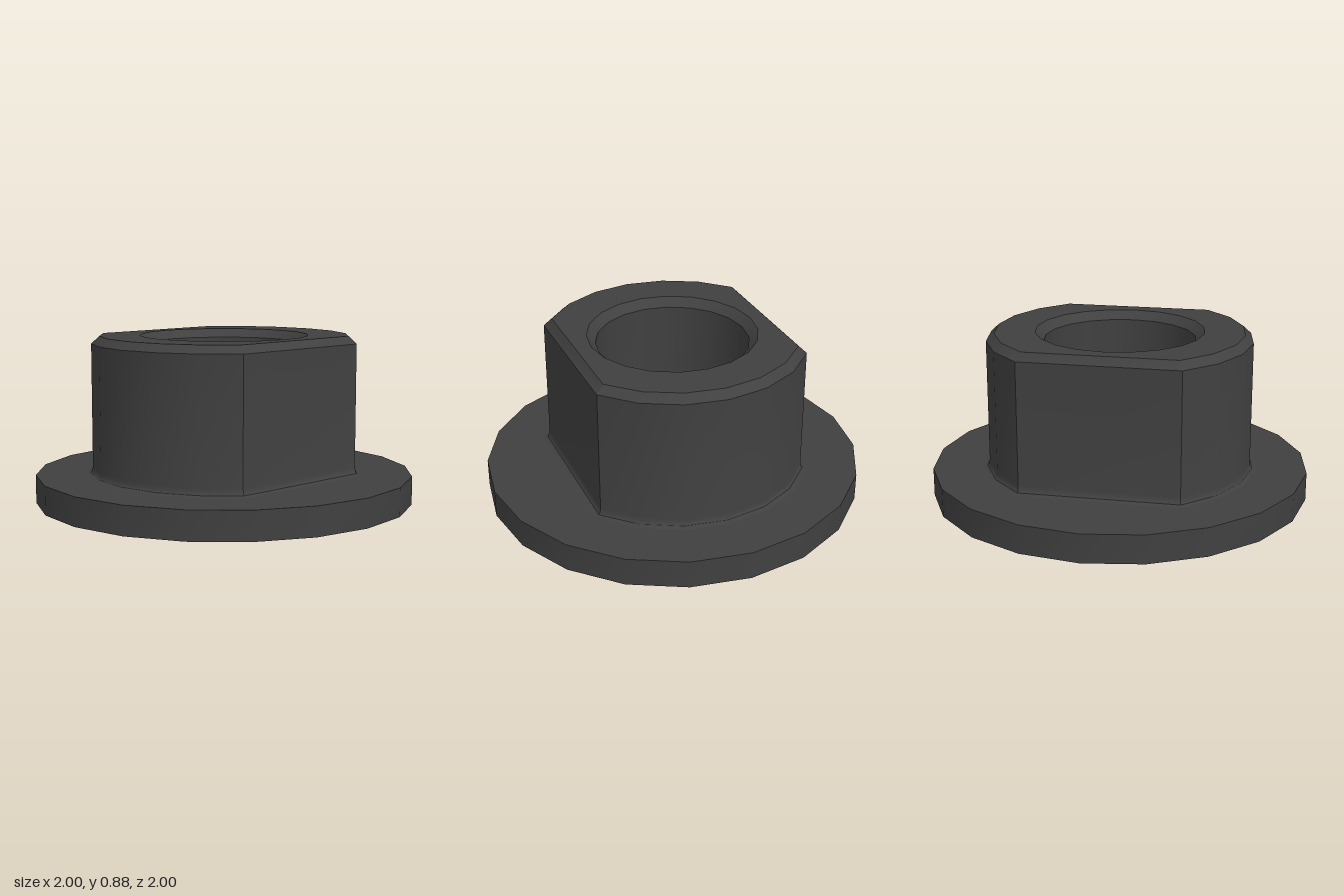
import * as THREE from 'three';
import { toCreasedNormals } from 'three/addons/utils/BufferGeometryUtils.js';

const material = new THREE.MeshStandardMaterial({ color: 0x404040 });

// 20-sided ring, counter-clockwise seen from above
function circle(r) {
  return Array.from({ length: 20 }, (_, i) => {
    const a = (i / 20) * Math.PI * 2;
    return new THREE.Vector2(r * Math.cos(a), r * Math.sin(a));
  });
}

// Circle of radius r cut by two parallel flats at distance d, six facets per arc
function doubleD(r, d) {
  const limit = Math.asin(d / r), points = [];
  for (const start of [0, Math.PI]) {
    for (let i = -3; i <= 3; i++) {
      const a = start + (limit * i) / 3;
      points.push(new THREE.Vector2(r * Math.cos(a), r * Math.sin(a)));
    }
  }
  return points;
}

// Walls through a stack of [outline, y]; listing from the top down turns them inward
function walls(name, levels) {
  const positions = [], index = [], n = levels[0][0].length;
  for (const [outline, y] of levels) for (const p of outline) positions.push(p.x, y, -p.y);
  for (let k = 0; k < levels.length - 1; k++) {
    for (let i = 0; i < n; i++) {
      const a = k * n + i, b = k * n + ((i + 1) % n);
      index.push(a, b, b + n, a, b + n, a + n);
    }
  }
  const geometry = new THREE.BufferGeometry();
  geometry.setAttribute('position', new THREE.Float32BufferAttribute(positions, 3));
  geometry.setIndex(index);
  return named(name, toCreasedNormals(geometry, 0.55));
}

// Flat face with a hole, facing up or down
function face(name, outline, hole, y, up) {
  const shape = new THREE.Shape(outline);
  shape.holes.push(new THREE.Path(hole));
  const geometry = new THREE.ShapeGeometry(shape);
  geometry.rotateX(up ? -Math.PI / 2 : Math.PI / 2).translate(0, y, 0);
  return named(name, geometry);
}

function named(name, geometry) {
  const mesh = new THREE.Mesh(geometry, material);
  mesh.name = name;
  return mesh;
}

export function createModel() {
  const model = new THREE.Group();
  model.name = 'flangedBushing';

  const rim = circle(1), bore = circle(0.4), boreMouth = circle(0.445);
  const root = doubleD(0.735, 0.6), top = doubleD(0.657, 0.525);
  const body = doubleD(0.7, 0.565);

  // Round flange
  const flange = new THREE.Group();
  flange.name = 'flange';
  flange.add(
    walls('flangeRim', [[rim, 0], [rim, 0.15]]),
    face('flangeTop', rim, root, 0.15, true),
    face('flangeUnderside', rim, bore, 0, false)
  );

  // Sleeve with two flats, a small root fillet and a top chamfer
  const sleeve = new THREE.Group();
  sleeve.name = 'sleeve';
  sleeve.add(
    walls('sleeveWall', [
      [root, 0.15], [doubleD(0.712, 0.577), 0.157], [doubleD(0.704, 0.569), 0.167],
      [body, 0.19], [body, 0.84], [top, 0.88]
    ]),
    face('sleeveTop', top, boreMouth, 0.88, true)
  );

  // Through bore with a chamfered mouth
  model.add(flange, sleeve, walls('bore', [[boreMouth, 0.88], [bore, 0.835], [bore, 0]]));
  return model;
}
